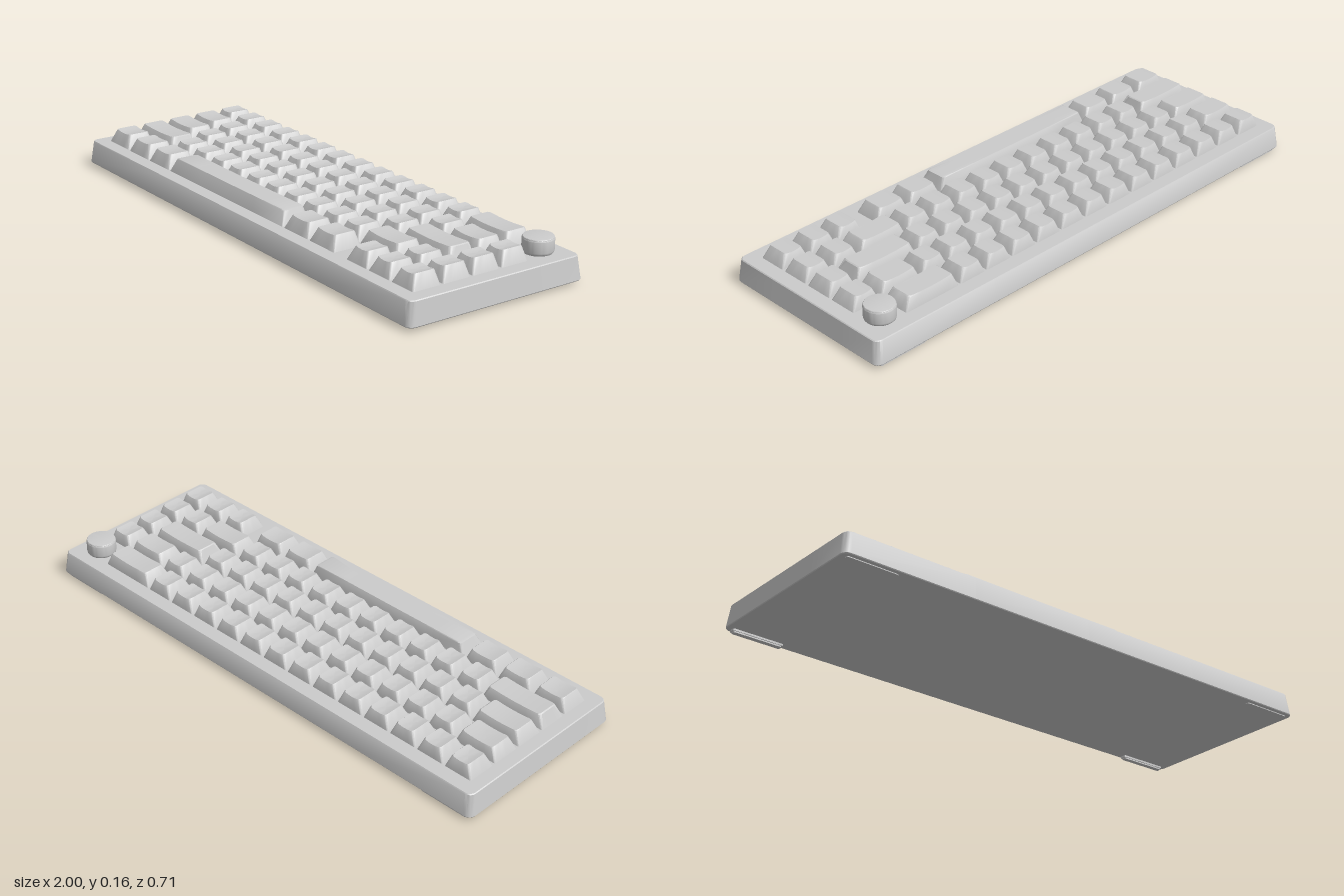
import * as THREE from 'three';
import { toCreasedNormals } from 'three/addons/utils/BufferGeometryUtils.js';

const UNIT = 0.1177; // key pitch
const GAP = 0.0085;
const DECK = 0.097; // top of the case
const LEFT = -0.945; // left edge of the key field

// Key widths per row, back to front; negative values are empty spaces.
const ones = (n) => Array(n).fill(1);
const ROWS = [
  [...ones(13), 2],
  [1.5, ...ones(12), 1.5, 1],
  [1.75, ...ones(11), 2.25, 1],
  [2.25, ...ones(10), 1.75, 1, 1],
  [1.25, 1.25, 1.25, 6.25, 1.25, 1.25, -0.5, 1, 1, 1],
];

// Rounded rectangle outline, with extra points along each edge.
function outline(hx, hz, r) {
  const pts = [];
  const corners = [[1, 1], [-1, 1], [-1, -1], [1, -1]];
  corners.forEach(([sx, sz], k) => {
    for (let i = 0; i <= 4; i++) {
      const a = (k + i / 4) * Math.PI / 2;
      pts.push([sx * (hx - r) + r * Math.cos(a), sz * (hz - r) + r * Math.sin(a)]);
    }
    const [x, z] = pts[pts.length - 1];
    const [nx, nz] = corners[(k + 1) % 4];
    const a = (k + 1) * Math.PI / 2;
    const ex = nx * (hx - r) + r * Math.cos(a), ez = nz * (hz - r) + r * Math.sin(a);
    for (let i = 1; i < 4; i++) pts.push([x + (ex - x) * i / 4, z + (ez - z) * i / 4]);
  });
  return pts;
}

// Skin over rounded rectangles listed from bottom to top; heightAt may bend a ring.
function loft(rings, crease = 0.6) {
  const pos = [], index = [];
  let n = 0;
  rings.forEach(({ hx, hz, r, y, z = 0, scale = 1, heightAt }) => {
    const pts = outline(hx, hz, r);
    n = pts.length;
    pts.forEach(([px, pz]) => {
      const x = px * scale, dz = pz * scale;
      pos.push(x, y + (heightAt ? heightAt(x, dz) : 0), dz + z);
    });
  });
  for (let j = 0; j < rings.length - 1; j++) {
    for (let i = 0; i < n; i++) {
      const a = j * n + i, b = j * n + (i + 1) % n, c = a + n, d = b + n;
      if (rings[j].scale !== 0) index.push(a, c, b);
      if (rings[j + 1].scale !== 0) index.push(b, c, d);
    }
  }
  const g = new THREE.BufferGeometry();
  g.setAttribute('position', new THREE.Float32BufferAttribute(pos, 3));
  g.setIndex(index);
  return toCreasedNormals(g, crease);
}

// Tapered keycap: steep back, sloping front, dished top.
function keycap(units) {
  const hx = (units * UNIT - GAP) / 2, hz = (UNIT - GAP) / 2;
  const tx = hx - 0.02, tz = 0.0412, z = -0.0055;
  const dish = units > 3 ? 0.0015 : 0.005;
  const heightAt = (x) => -dish * (1 - Math.min(1, (x / tx) ** 2));
  const top = { hx: tx, hz: tz, r: 0.01, z, heightAt };
  return loft([
    { hx, hz, r: 0.006, y: 0 },
    { hx: tx + 0.0015, hz: tz + 0.001, r: 0.011, y: 0.047, z, heightAt },
    { ...top, y: 0.05, scale: 0.975 },
    { ...top, y: 0.05, scale: 0.65 },
    { ...top, y: 0.05, scale: 0.33 },
    { ...top, y: 0.05, scale: 0 },
  ]);
}

export function createModel() {
  const model = new THREE.Group();
  model.name = 'keyboard';
  const material = new THREE.MeshStandardMaterial({ color: 0xcccccc });
  const add = (parent, name, geometry, x = 0, y = 0, z = 0) => {
    const mesh = new THREE.Mesh(geometry, material);
    mesh.name = name;
    mesh.position.set(x, y, z);
    parent.add(mesh);
    return mesh;
  };

  // Case with inward-leaning walls
  const base = { hx: 0.998, hz: 0.353, r: 0.023, y: 0.012 };
  const lid = { hx: 0.987, hz: 0.343, r: 0.022, y: DECK };
  add(model, 'case', loft([
    { ...base, scale: 0 },
    base,
    { hx: 1, hz: 0.355, r: 0.025, y: 0.015 },
    { hx: 0.99, hz: 0.3455, r: 0.024, y: DECK - 0.003 },
    lid,
    { ...lid, scale: 0 },
  ]));

  // Keys, one group per row
  const shapes = new Map();
  ROWS.forEach((row, r) => {
    const group = new THREE.Group();
    group.name = `keyRow${r + 1}`;
    model.add(group);
    let x = LEFT;
    row.forEach((u) => {
      const w = Math.abs(u) * UNIT;
      if (u > 0) {
        if (!shapes.has(u)) shapes.set(u, keycap(u));
        add(group, u > 3 ? 'spaceBar' : 'keycap', shapes.get(u), x + w / 2, DECK, -0.235 + r * 0.118);
      }
      x += w;
    });
  });

  // Rotary knob with rounded rim and a fine seam below the top
  const profile = [
    [0, 0], [0.044, 0], [0.049, 0.002], [0.0525, 0.006], [0.054, 0.012], [0.054, 0.05],
    [0.053, 0.0535], [0.0525, 0.054], [0.0525, 0.0555], [0.051, 0.0575], [0.048, 0.058], [0, 0.058],
  ].map(([x, y]) => new THREE.Vector2(x, y));
  add(model, 'knob', toCreasedNormals(new THREE.LatheGeometry(profile, 48), 0.6), 0.892, DECK, -0.25);

  // Feet: thin pads in front, taller stepped pads at the back
  const pad = (hx, hz, y0, y1) => {
    const r = Math.min(hz, 0.006);
    return loft([
      { hx, hz, r, y: y0, scale: 0 }, { hx, hz, r, y: y0 }, { hx, hz, r, y: y1 }, { hx, hz, r, y: y1, scale: 0 },
    ]);
  };
  for (const side of [-1, 1]) {
    add(model, 'frontFoot', pad(0.098, 0.009, 0.009, 0.014), side * 0.88, 0, 0.329);
    add(model, 'rearFootBase', pad(0.098, 0.0125, 0.005, 0.014), side * 0.88, 0, -0.335);
    add(model, 'rearFootPad', pad(0.094, 0.0095, 0, 0.006), side * 0.88, 0, -0.335);
  }
  return model;
}
